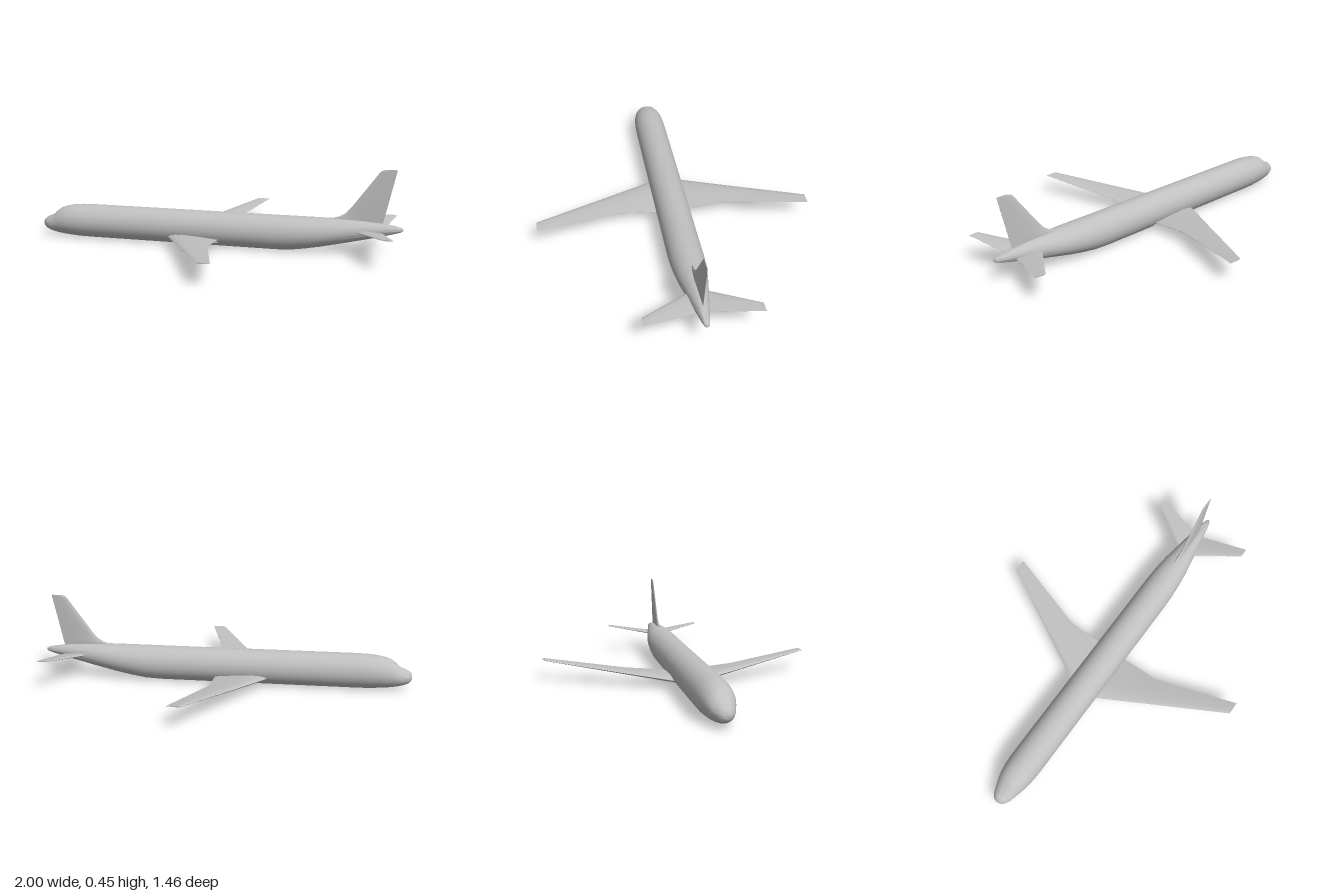
import * as THREE from 'three';
import { toCreasedNormals } from 'three/addons/utils/BufferGeometryUtils.js';

// Skin a series of closed rings (arrays of [x, y, z]) and cap both ends.
function loft(rings, crease) {
  const n = rings[0].length, last = rings.length - 1;
  const pos = rings.flat(2), idx = [];
  for (let i = 0; i < last; i++) {
    for (let j = 0; j < n; j++) {
      const a = i * n + j, b = i * n + (j + 1) % n;
      idx.push(a, b, a + n, b, b + n, a + n);
    }
  }
  for (const i of [0, last]) {
    const centre = pos.length / 3;
    for (let k = 0; k < 3; k++) pos.push(rings[i].reduce((s, p) => s + p[k], 0) / n);
    for (let j = 0; j < n; j++) {
      const a = i * n + j, b = i * n + (j + 1) % n;
      idx.push(centre, ...(i === 0 ? [b, a] : [a, b]));
    }
  }
  const geo = new THREE.BufferGeometry();
  geo.setAttribute('position', new THREE.Float32BufferAttribute(pos, 3));
  geo.setIndex(idx);
  return toCreasedNormals(geo, crease);
}

// Symmetric aerofoil outline: [fraction of chord, fraction of half thickness]
const upper = [[1, 0.06], [0.8, 0.4], [0.6, 0.7], [0.3, 1], [0.12, 0.8], [0.03, 0.45], [0, 0]];
const foil = [...upper, ...upper.slice(0, -1).reverse().map(([t, h]) => [t, -h])];

// Sections: [span z, height y, leading x, trailing x, half thickness]
function wingGeometry(sections, side) {
  const rings = sections.map(([z, y, x0, x1, h]) =>
    foil.map(([t, k]) => [x0 + (x1 - x0) * t, y + k * h, z * side]));
  if (side < 0) rings.reverse();
  return loft(rings, 0.7);
}

export function createModel() {
  const model = new THREE.Group();
  model.name = 'airliner';
  const grey = new THREE.MeshStandardMaterial({ color: 0xc0c0c0 });
  grey.name = 'light grey';
  const add = (name, geo) => {
    const mesh = new THREE.Mesh(geo, grey);
    mesh.name = name;
    model.add(mesh);
  };

  // Fuselage stations: [x, top, bottom, half width]
  const stations = [
    [-1, 0.077, 0.06, 0.009], [-0.995, 0.091, 0.047, 0.023], [-0.98, 0.104, 0.035, 0.038],
    [-0.96, 0.112, 0.027, 0.048], [-0.935, 0.123, 0.02, 0.057], [-0.915, 0.143, 0.016, 0.063],
    [-0.89, 0.161, 0.012, 0.071], [-0.86, 0.172, 0.009, 0.078], [-0.82, 0.18, 0.006, 0.084],
    [-0.77, 0.185, 0.003, 0.088], [-0.7, 0.187, 0.002, 0.089], [-0.2, 0.187, 0.002, 0.089],
    [0.35, 0.187, 0.002, 0.089], [0.43, 0.187, 0.006, 0.089], [0.5, 0.187, 0.017, 0.088],
    [0.58, 0.187, 0.032, 0.083], [0.66, 0.187, 0.05, 0.074], [0.74, 0.186, 0.068, 0.06],
    [0.82, 0.181, 0.087, 0.046], [0.9, 0.173, 0.107, 0.031], [0.96, 0.164, 0.123, 0.02],
    [0.99, 0.157, 0.133, 0.012], [1, 0.149, 0.141, 0.004],
  ];
  const sides = 40;
  add('fuselage', loft(stations.map(([x, top, bottom, w]) =>
    Array.from({ length: sides }, (_, j) => {
      const a = j / sides * Math.PI * 2;
      return [x, (top + bottom) / 2 + (top - bottom) / 2 * Math.cos(a), w * Math.sin(a)];
    })), 1.1));

  // Swept wings with a trailing edge kink, and the horizontal tail
  const wing = [
    [0.03, 0.045, -0.264, 0.04, 0.019], [0.09, 0.051, -0.232, 0.04, 0.017],
    [0.29, 0.07, -0.128, 0.04, 0.011], [0.73, 0.115, 0.1, 0.17, 0.003],
  ];
  const tailplane = [
    [0.01, 0.125, 0.735, 0.89, 0.009], [0.045, 0.13, 0.757, 0.9, 0.008],
    [0.282, 0.158, 0.908, 0.96, 0.003],
  ];
  // Small fairing below each wing root
  const fairing = [
    [0.025, 0.024, -0.05, 0.055, 0.015], [0.06, 0.03, -0.045, 0.05, 0.015],
    [0.08, 0.037, -0.035, 0.045, 0.01],
  ];
  for (const [label, side] of [['left', 1], ['right', -1]]) {
    add(label + 'Wing', wingGeometry(wing, side));
    add(label + 'Tailplane', wingGeometry(tailplane, side));
    add(label + 'RootFairing', wingGeometry(fairing, side));
  }

  // Vertical fin: [height y, leading x, trailing x, half thickness]
  const fin = [
    [0.16, 0.6, 0.893, 0.01], [0.188, 0.635, 0.9, 0.01], [0.2, 0.675, 0.903, 0.009],
    [0.218, 0.705, 0.907, 0.008], [0.25, 0.734, 0.914, 0.007],
    [0.435, 0.868, 0.954, 0.004], [0.448, 0.88, 0.957, 0.003], [0.454, 0.9, 0.959, 0.002],
  ];
  add('fin', loft(fin.map(([y, x0, x1, h]) =>
    foil.map(([t, k]) => [x0 + (x1 - x0) * t, y, -k * h])), 0.7));

  return model;
}
